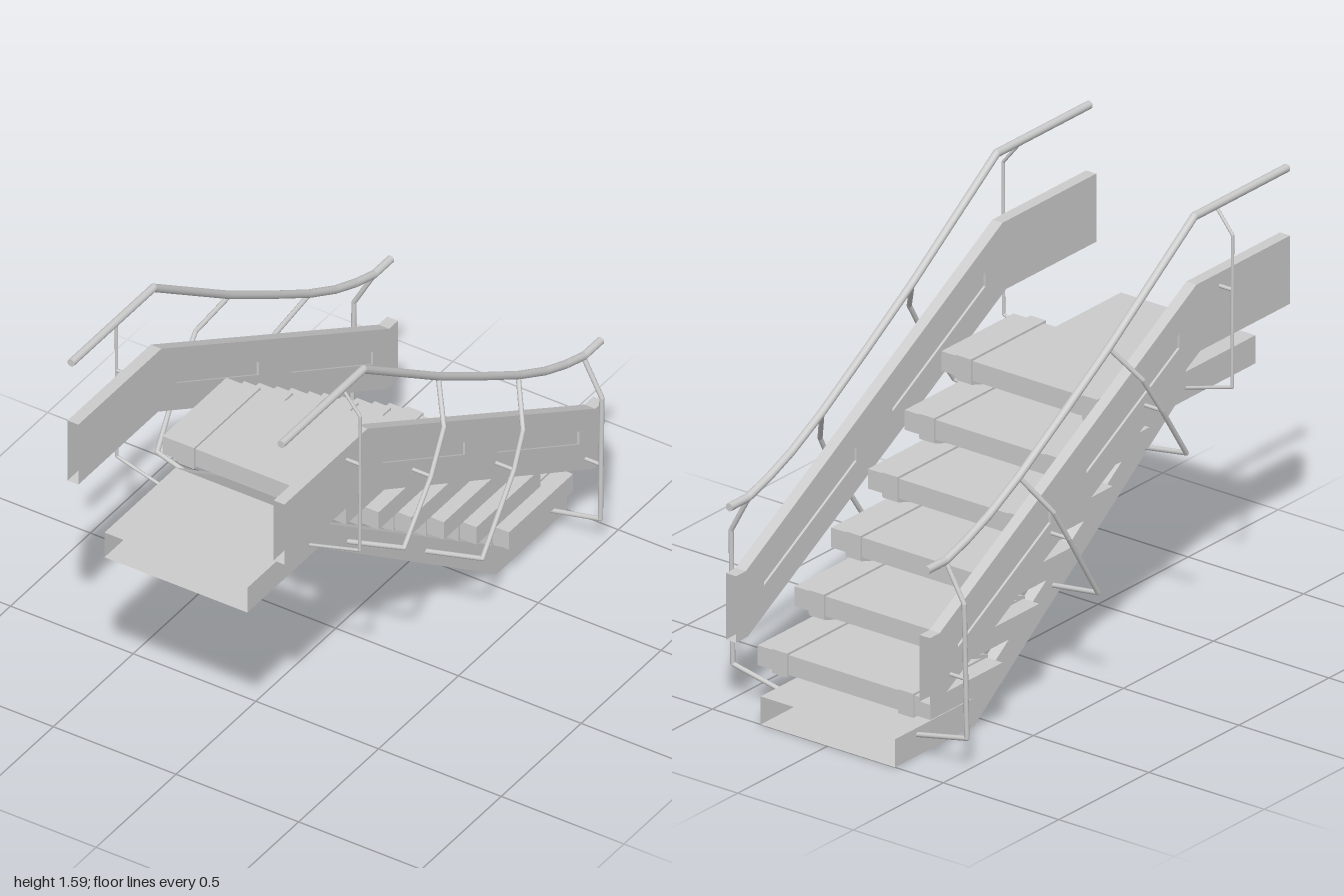
import * as THREE from 'three';
import { mergeGeometries } from 'three/addons/utils/BufferGeometryUtils.js';

const material = new THREE.MeshStandardMaterial({ color: 0xcccccc, side: THREE.DoubleSide });

function add(parent, name, geometry) {
  const mesh = new THREE.Mesh(geometry, material);
  mesh.name = name;
  parent.add(mesh);
  return mesh;
}

function box(x0, x1, y0, y1, z0, z1) {
  return new THREE.BoxGeometry(x1 - x0, y1 - y0, z1 - z0)
    .translate((x0 + x1) / 2, (y0 + y1) / 2, (z0 + z1) / 2);
}

// Closed outline of [z, y] points
const outline = (points, Type = THREE.Shape) => new Type(points.map(p => new THREE.Vector2(...p)));

// Side profile extruded across x, centred on x
function profile(shape, x, width) {
  return new THREE.ExtrudeGeometry(shape, { depth: width, bevelEnabled: false })
    .translate(0, 0, -width / 2).rotateY(-Math.PI / 2).translate(x, 0, 0);
}

// Leave out the end faces lying at the given z planes
function openEnds(geometry, planes) {
  const position = geometry.attributes.position;
  const keep = [];
  for (let i = 0; i < position.count; i += 3) {
    const onPlane = planes.some(z => [0, 1, 2].every(k => Math.abs(position.getZ(i + k) - z) < 1e-5));
    if (!onPlane) keep.push(i, i + 1, i + 2);
  }
  geometry.setIndex(keep);
  return geometry;
}

// Round rod through [x, y, z] points with mitre-like ball joints
function rod(points, radius) {
  const p = points.map(q => new THREE.Vector3(...q));
  const parts = [];
  for (let i = 1; i < p.length; i++) {
    const d = p[i].clone().sub(p[i - 1]);
    const turn = new THREE.Quaternion().setFromUnitVectors(new THREE.Vector3(0, 1, 0), d.clone().normalize());
    const middle = p[i].clone().add(p[i - 1]).multiplyScalar(0.5);
    parts.push(new THREE.CylinderGeometry(radius, radius, d.length(), 10)
      .applyQuaternion(turn).translate(middle.x, middle.y, middle.z));
    if (i < p.length - 1) parts.push(new THREE.SphereGeometry(radius, 10, 6).translate(p[i].x, p[i].y, p[i].z));
  }
  return mergeGeometries(parts);
}

// Hollow landing, open at its outer end
function addLanding(parent, name, y, z0, z1, wallZ) {
  const shell = box(-0.291, 0.291, y, y + 0.105, z0, z1);
  shell.setIndex(Array.from(shell.index.array).slice(0, 24));
  add(parent, name, shell);
  add(parent, name + 'Wall', new THREE.PlaneGeometry(0.494, 0.105).translate(0, y + 0.0525, wallZ));
}

function addStep(parent, i) {
  const step = new THREE.Group();
  step.name = 'step';
  step.position.set(0, 0.168 + i * 0.148, -0.91 + i * 0.204);
  parent.add(step);
  add(step, 'tread', box(-0.374, 0.374, 0, 0.074, 0, 0.4));
  for (const s of [-1, 1]) {
    // Bracket over the tread, hooked under both edges
    const bracket = outline([
      [-0.008, -0.008], [0.05, -0.008], [0.05, 0.002], [0.002, 0.002], [0.002, 0.072], [0.398, 0.072],
      [0.398, 0.002], [0.35, 0.002], [0.35, -0.008], [0.408, -0.008], [0.408, 0.082], [-0.008, 0.082]]);
    add(step, 'bracket', profile(bracket, s * 0.273, 0.066));
    // Sloping link up to the next step
    if (i < 5) {
      const link = outline([[0.405, 0.07], [0.405, 0.084], [0.2, 0.148], [0.2, 0.134]]);
      add(step, 'link', profile(link, s * 0.273, 0.066));
    }
  }
}

function addSide(parent, s) {
  const side = new THREE.Group();
  side.name = s > 0 ? 'leftSide' : 'rightSide';
  parent.add(side);

  // Hollow sloping beam under the steps
  const beam = outline([[0.555, 0.805], [0.555, 0.91], [-0.58, 0.105], [-0.58, 0.005], [-0.56, 0]]);
  add(side, 'beam', openEnds(profile(beam, s * 0.269, 0.044), [0.555, -0.58]));

  // Side panel with two long slots
  const panel = outline([[1, 1.07], [1, 1.325], [0.48, 1.325], [-0.945, 0.525], [-1, 0.525],
    [-1, 0.276], [-0.935, 0.276], [0.5, 1.07]]);
  const slots = [
    [[0.385, 1.175], [0.385, 1.12], [-0.13, 0.835], [-0.13, 0.89]],
    [[-0.33, 0.775], [-0.33, 0.72], [-0.845, 0.435], [-0.845, 0.49]]];
  panel.holes = slots.map(p => outline(p, THREE.Path));
  add(side, 'panel', openEnds(profile(panel, s * 0.42, 0.044), [1, -1]));
  for (const p of slots) add(side, 'slotInlay', profile(outline(p), s * 0.42, 0.026));

  // Handrail
  const rail = [[1.575, 1], [1.575, 0.485], [1.25, 0.01], [1.1, -0.24], [0.945, -0.49],
    [0.86, -0.655], [0.81, -0.78], [0.775, -0.895], [0.775, -1]];
  rail[3][0] = 1.095;
  add(side, 'handrail', rod(rail.map(([y, z]) => [s * 0.428, y, z]), 0.015));

  // Bent posts from the handrail out and back in to the beam, each with a peg to the panel
  const posts = [
    { r: 0.006, peg: [0.495, 1.275, 0.61], path: [[0.428, 1.565, 0.61], [0.497, 1.48, 0.61], [0.495, 0.91, 0.61], [0.285, 0.85, 0.61]] },
    { r: 0.009, peg: [0.515, 0.975, 0.195], path: [[0.428, 1.245, 0.015], [0.506, 1.12, 0.1], [0.515, 0.975, 0.195], [0.503, 0.76, 0.345], [0.285, 0.715, 0.37]] },
    { r: 0.009, peg: [0.515, 0.68, -0.325], path: [[0.428, 0.94, -0.485], [0.506, 0.8, -0.395], [0.515, 0.68, -0.325], [0.503, 0.41, -0.145], [0.285, 0.37, -0.12]] },
    { r: 0.009, peg: [0.507, 0.35, -0.885], path: [[0.428, 0.77, -0.893], [0.505, 0.63, -0.89], [0.507, 0.125, -0.878], [0.285, 0.078, -0.875]] }];
  const mirror = ([x, y, z]) => [s * x, y, z];
  for (const { r, peg, path } of posts) {
    add(side, 'post', rod(path.map(mirror), r));
    add(side, 'peg', rod([mirror(peg), mirror([0.435, peg[1], peg[2]])], 0.007));
  }
}

export function createModel() {
  const model = new THREE.Group();
  model.name = 'staircase';
  addLanding(model, 'upperLanding', 0.805, 0.555, 1, 0.555);
  addLanding(model, 'lowerLanding', 0, -1, -0.57, -0.57);
  for (let i = 0; i < 6; i++) addStep(model, i);
  for (const s of [-1, 1]) addSide(model, s);
  return model;
}
